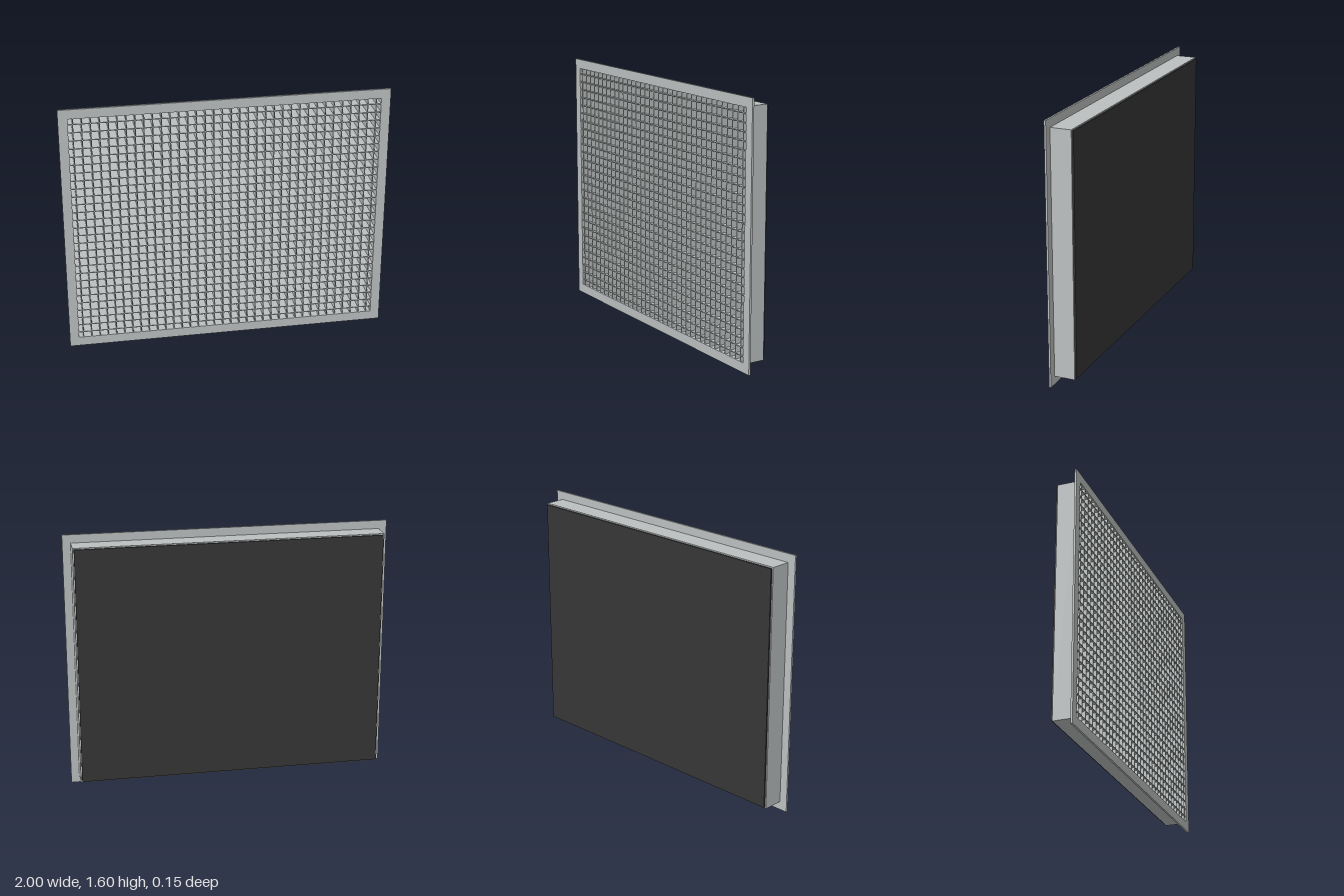
import * as THREE from 'three';

const MID_Y = 0.8;

// Rectangular ring extruded along z, centred on the panel
function ring(outerW, outerH, innerW, innerH, z0, z1) {
  const rect = (s, w, h) => s.moveTo(-w / 2, -h / 2).lineTo(w / 2, -h / 2)
    .lineTo(w / 2, h / 2).lineTo(-w / 2, h / 2).closePath();
  const shape = rect(new THREE.Shape(), outerW, outerH);
  shape.holes.push(rect(new THREE.Path(), innerW, innerH));
  return new THREE.ExtrudeGeometry(shape, { depth: z1 - z0, bevelEnabled: false })
    .translate(0, MID_Y, z0);
}

function box(w, h, z0, z1, x = 0, y = MID_Y) {
  return new THREE.BoxGeometry(w, h, z1 - z0).translate(x, y, (z0 + z1) / 2);
}

export function createModel() {
  const model = new THREE.Group();
  model.name = 'eggCrateGrille';
  const grey = new THREE.MeshStandardMaterial({ color: 0xbcc0c0 });
  grey.name = 'grey metal';
  const black = new THREE.MeshStandardMaterial({ color: 0x363636 });
  black.name = 'black backing';

  const add = (name, geometry, material, parent = model) => {
    const mesh = new THREE.Mesh(geometry, material);
    mesh.name = name;
    parent.add(mesh);
  };

  const innerW = 1.885, innerH = 1.482;

  // Thin face flange and the sleeve behind it
  add('flange', ring(2, 1.6, innerW, innerH, 0.063, 0.075), grey);
  add('sleeve', ring(1.9, 1.497, innerW, innerH, -0.065, 0.063), grey);

  // Closed back with a dark sheet on its rear
  add('innerBack', box(innerW, innerH, -0.065, -0.06), grey);
  add('backSheet', box(innerW, innerH, -0.075, -0.065), black);

  // Crossing blades of the core
  const core = new THREE.Group();
  core.name = 'core';
  model.add(core);
  const pitch = 0.0522, blade = 0.005, columns = 36, rows = 28;
  for (let i = 0; i < columns; i++) {
    const x = (i - (columns - 1) / 2) * pitch;
    add('verticalBlade', box(blade, innerH, -0.06, 0.073, x), grey, core);
  }
  for (let j = 0; j < rows; j++) {
    const y = MID_Y + (j - (rows - 1) / 2) * pitch;
    add('horizontalBlade', box(innerW, blade, -0.06, 0.073, 0, y), grey, core);
  }
  return model;
}
